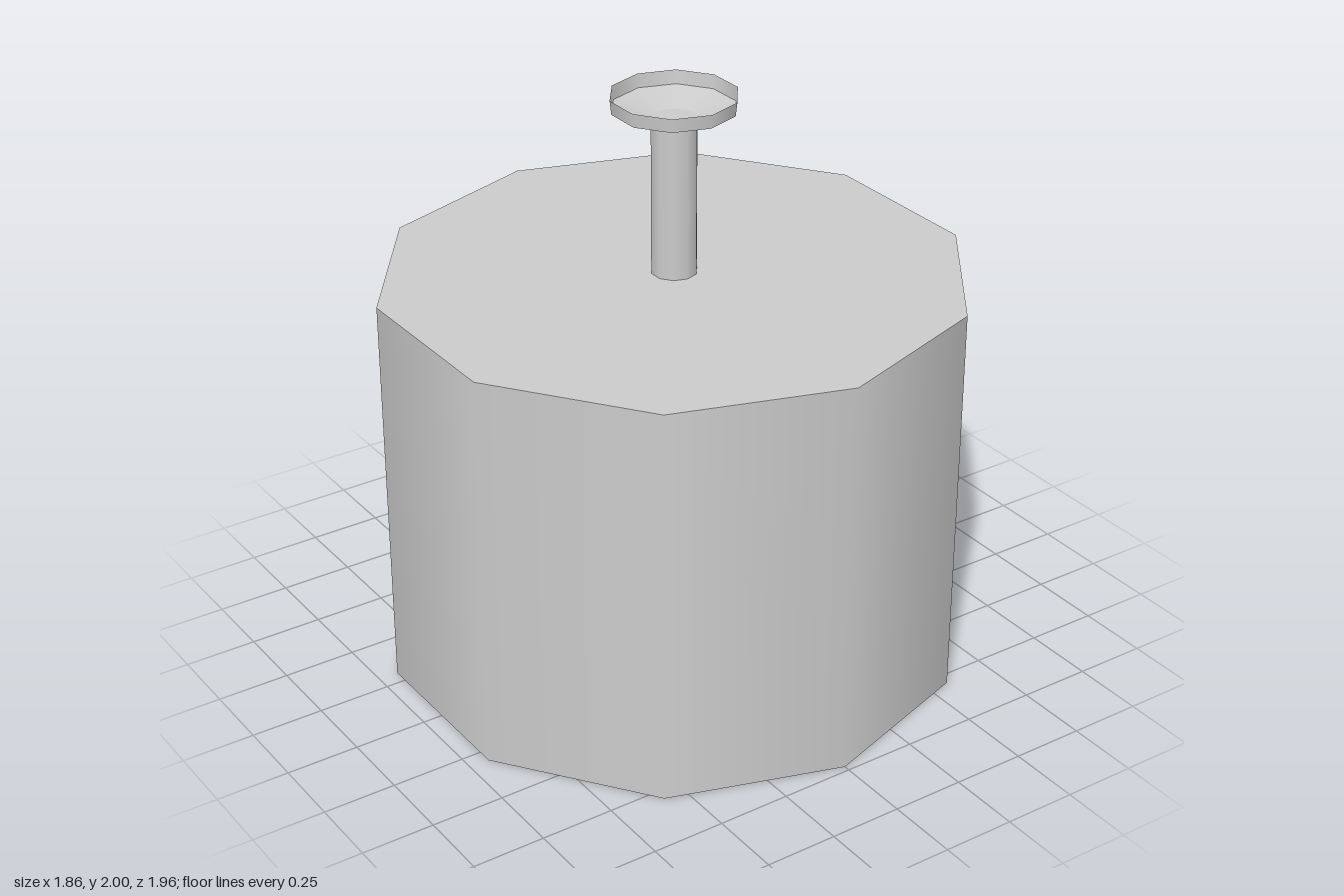
import * as THREE from 'three';
import { mergeGeometries } from 'three/addons/utils/BufferGeometryUtils.js';

const SIDES = 10;

// Ten-sided turned form: smooth around the axis, sharp at each profile corner.
function turned(name, profile, side = THREE.FrontSide) {
  const bands = [];
  for (let i = 0; i < profile.length - 1; i++) {
    const pair = [profile[i], profile[i + 1]].map(([r, y]) => new THREE.Vector2(r, y));
    bands.push(new THREE.LatheGeometry(pair, SIDES));
  }
  const material = new THREE.MeshStandardMaterial({ color: 0xcccccc, side });
  const mesh = new THREE.Mesh(mergeGeometries(bands), material);
  mesh.name = name;
  return mesh;
}

export function createModel() {
  const group = new THREE.Group();
  group.name = 'drumWithKnob';

  // Hollow drum, open underneath, with a closed top
  group.add(turned('drum', [
    [0, 1.32], [0.92, 1.32], [0.92, 0], [0.98, 0], [0.98, 1.385], [0, 1.385],
  ].map(([r, y]) => [r, y])));

  // Slim post rising from the centre of the top
  group.add(turned('stem', [[0.077, 1.385], [0.077, 1.92], [0, 1.92]]));

  // Thin shallow dish with a short upright rim
  group.add(turned('dish', [[0.077, 1.92], [0.205, 1.953], [0.21, 2]], THREE.DoubleSide));

  return group;
}
